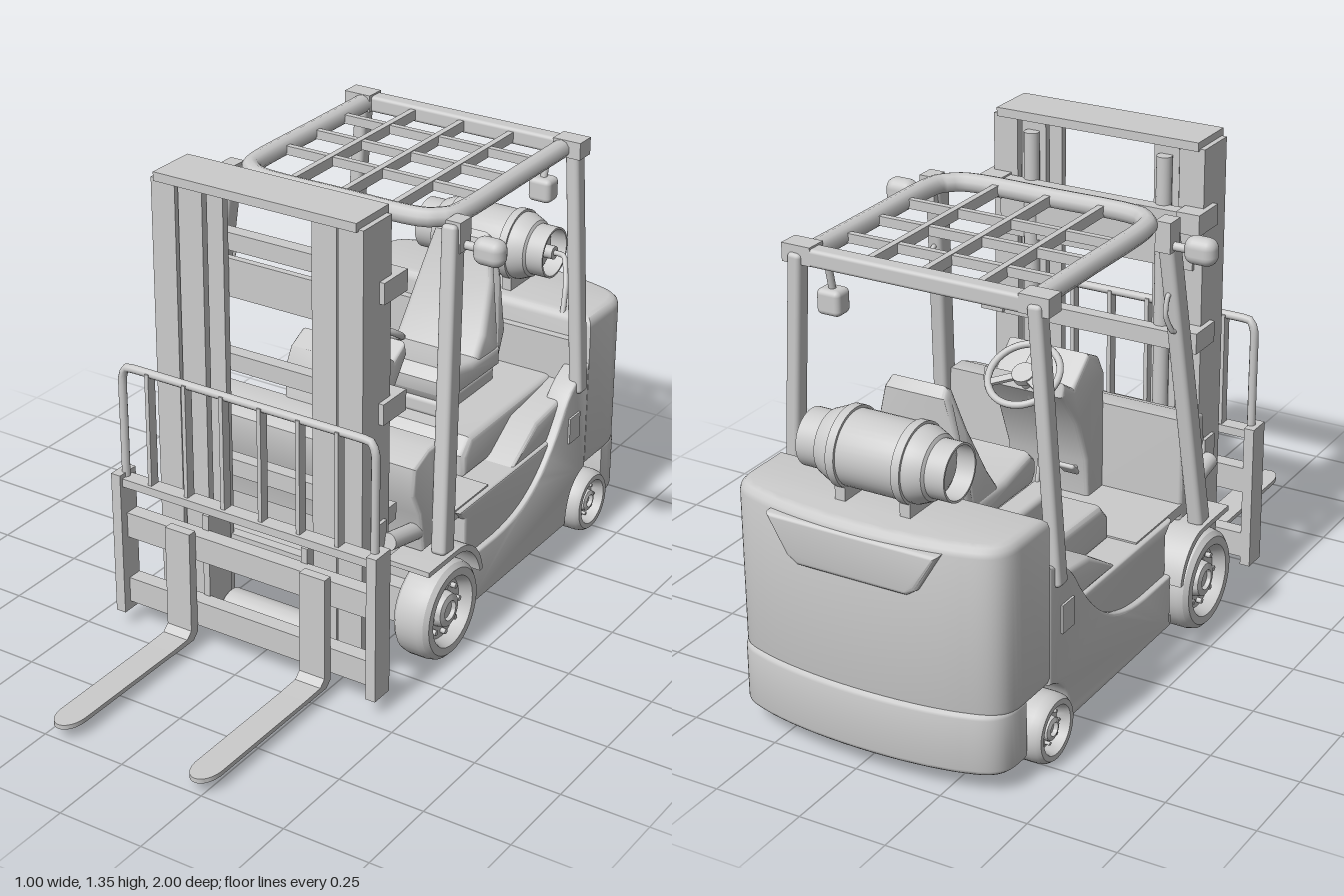
import * as THREE from 'three';
import { toCreasedNormals } from 'three/addons/utils/BufferGeometryUtils.js';
import { RoundedBoxGeometry } from 'three/addons/geometries/RoundedBoxGeometry.js';

const mat = new THREE.MeshStandardMaterial({ color: 0xcccccc });
const V = (x, y, z) => new THREE.Vector3(x, y, z);

export function createModel() {
  const root = new THREE.Group();
  const add = (name, geo, x = 0, y = 0, z = 0) => {
    const m = new THREE.Mesh(geo, mat);
    m.name = name;
    m.position.set(x, y, z);
    root.add(m);
    return m;
  };
  // Box given by its extents
  const box = (name, x0, x1, y0, y1, z0, z1) =>
    add(name, new THREE.BoxGeometry(x1 - x0, y1 - y0, z1 - z0), (x0 + x1) / 2, (y0 + y1) / 2, (z0 + z1) / 2);
  const softBox = (name, x0, x1, y0, y1, z0, z1, r) =>
    add(name, new RoundedBoxGeometry(x1 - x0, y1 - y0, z1 - z0, 3, r), (x0 + x1) / 2, (y0 + y1) / 2, (z0 + z1) / 2);
  const toShape = p => Array.isArray(p) ? new THREE.Shape(p.map(q => new THREE.Vector2(q[0], q[1]))) : p;
  const extrude = (shape, depth, bevel) => new THREE.ExtrudeGeometry(toShape(shape), {
    depth: depth - 2 * bevel, bevelEnabled: bevel > 0, bevelSize: bevel, bevelThickness: bevel,
    bevelOffset: -bevel, bevelSegments: 3, curveSegments: 14 }).translate(0, 0, bevel);
  // Side profile [z, y] swept from x0 to x1
  const sideGeo = (shape, x0, x1, bevel = 0) => toCreasedNormals(
    extrude(shape, x1 - x0, bevel).rotateY(-Math.PI / 2).translate(x1, 0, 0), 0.6);
  const side = (name, shape, x0, x1, bevel) => add(name, sideGeo(shape, x0, x1, bevel));
  // Plan [x, -z] swept from y0 to y1
  const plan = (name, shape, y0, y1, bevel = 0) => add(name, toCreasedNormals(
    extrude(shape, y1 - y0, bevel).rotateX(-Math.PI / 2).translate(0, y0, 0), 0.6));
  const tube = (name, pts, r, n = 40, tension = 0.3) => add(name,
    new THREE.TubeGeometry(new THREE.CatmullRomCurve3(pts, false, 'catmullrom', tension), n, r, 10));
  const aim = (m, a, b) => {
    m.position.copy(a).add(b).multiplyScalar(0.5);
    m.quaternion.setFromUnitVectors(V(0, 1, 0), b.clone().sub(a).normalize());
    return m;
  };
  const rod = (name, a, b, r) => aim(add(name, new THREE.CylinderGeometry(r, r, a.distanceTo(b), 18)), a, b);
  const beam = (name, a, b, w, d) => aim(add(name, new RoundedBoxGeometry(w, a.distanceTo(b), d, 2, 0.012)), a, b);
  const lathe = (pts, n = 40) => toCreasedNormals(
    new THREE.LatheGeometry(pts.map(p => new THREE.Vector2(p[0], p[1])), n), 0.5).rotateZ(-Math.PI / 2);

  // Wheels with recessed rims and bolts
  const wheel = (name, s, cx, y, z, R, w) => {
    const g = new THREE.Group(), h = w / 2;
    g.name = name;
    g.add(new THREE.Mesh(lathe([[0, -h], [R * 0.88, -h], [R * 0.97, -h + 0.012], [R, -h + 0.03], [R, h - 0.03],
      [R * 0.97, h - 0.012], [R * 0.88, h], [R * 0.72, h], [R * 0.69, h - 0.008], [R * 0.62, h - 0.035], [R * 0.36, h - 0.035],
      [R * 0.33, h - 0.012], [R * 0.2, h - 0.008], [R * 0.18, h - 0.02], [0, h - 0.02]]), mat));
    for (let i = 0; i < 8; i++) {
      const a = i * Math.PI / 4;
      const bolt = new THREE.Mesh(new THREE.CylinderGeometry(R * 0.055, R * 0.055, 0.02, 8).rotateZ(Math.PI / 2), mat);
      bolt.position.set(h - 0.03, Math.cos(a) * R * 0.49, Math.sin(a) * R * 0.49);
      g.add(bolt);
    }
    g.position.set(s * cx, y, z);
    if (s < 0) g.rotation.y = Math.PI;
    root.add(g);
  };

  // Body core, floor and hood
  side('chassis', [[0.1, 0.1], [0.1, 0.36], [-0.02, 0.375], [-0.72, 0.375], [-0.72, 0.2], [-0.62, 0.2], [-0.62, 0.08], [-0.05, 0.08]], -0.3, 0.3);
  side('floorBody', [[-0.055, 0.1], [-0.055, 0.34], [-0.02, 0.375], [-0.72, 0.375], [-0.72, 0.22], [-0.61, 0.2], [-0.61, 0.1]], -0.385, 0.385, 0.01);
  box('floorPlate', -0.37, 0.37, 0.35, 0.38, -0.2, 0.12);
  side('hood', [[-0.2, 0.37], [-0.2, 0.44], [-0.24, 0.485], [-0.72, 0.495], [-0.72, 0.37]], -0.29, 0.29, 0.02);
  side('hoodShoulder', [[-0.32, 0.37], [-0.46, 0.46], [-0.72, 0.49], [-0.72, 0.37]], -0.375, 0.375, 0.015);
  box('rearBulkhead', -0.37, 0.37, 0.4, 0.62, -0.73, -0.69);
  box('rearAxle', -0.34, 0.34, 0.07, 0.13, -0.76, -0.69);
  box('frontAxle', -0.34, 0.34, 0.09, 0.2, 0.05, 0.15);

  // Front cowl, dashboard and steering
  side('cowl', [[0.06, 0.63], [0.12, 0.63], [0.19, 0.6], [0.195, 0.52], [0.16, 0.45], [0.14, 0.33], [0.06, 0.33]], -0.37, 0.37, 0.01);
  side('dashboard', [[0.07, 0.72], [0.04, 0.775], [-0.02, 0.805], [-0.1, 0.735], [-0.155, 0.77], [-0.165, 0.73], [-0.08, 0.62],
    [-0.03, 0.49], [-0.02, 0.37], [0.07, 0.37]], -0.125, 0.125, 0.012);
  rod('steeringColumn', V(-0.01, 0.69, -0.115), V(-0.01, 0.775, -0.17), 0.018);
  const steering = new THREE.Group();
  steering.name = 'steeringWheel';
  steering.add(new THREE.Mesh(new THREE.TorusGeometry(0.1, 0.01, 10, 40).rotateX(Math.PI / 2), mat));
  steering.add(new THREE.Mesh(new THREE.CylinderGeometry(0.032, 0.032, 0.02, 20), mat));
  for (let i = 0; i < 3; i++) steering.add(new THREE.Mesh(
    new THREE.BoxGeometry(0.02, 0.01, 0.09).translate(0, 0, 0.055).rotateY(i * Math.PI * 2 / 3), mat));
  steering.position.set(-0.01, 0.778, -0.17);
  steering.rotation.x = -0.57;
  root.add(steering);
  for (const x of [-0.09, 0.08]) {
    rod('pedalArm', V(x, 0.46, 0), V(x, 0.47, -0.06), 0.006);
    beam('pedal', V(x, 0.46, -0.05), V(x, 0.495, -0.085), 0.05, 0.014);
  }

  // Seat
  const sx = 0.03;
  softBox('seatBase', sx - 0.13, sx + 0.13, 0.48, 0.535, -0.59, -0.29, 0.015);
  side('seatCushion', [[-0.28, 0.56], [-0.28, 0.6], [-0.31, 0.63], [-0.44, 0.605], [-0.6, 0.6], [-0.6, 0.53], [-0.3, 0.53]], sx - 0.145, sx + 0.145, 0.022);
  const back = sideGeo([[-0.645, 0.9], [-0.62, 0.925], [-0.6, 0.91], [-0.575, 0.8], [-0.51, 0.66], [-0.46, 0.59],
    [-0.48, 0.55], [-0.6, 0.55], [-0.635, 0.63], [-0.64, 0.8]], -0.14, 0.14, 0.018);
  const bp = back.attributes.position;
  for (let i = 0; i < bp.count; i++) bp.setX(i, bp.getX(i) * (1 - 0.4 * Math.max(0, (bp.getY(i) - 0.58) / 0.345) ** 2));
  back.deleteAttribute('normal');
  add('seatBack', toCreasedNormals(back, 0.6), sx);
  softBox('leverConsole', -0.2, -0.125, 0.48, 0.56, -0.55, -0.3, 0.015);
  for (let i = 0; i < 3; i++) rod('lever', V(-0.18 + i * 0.02, 0.54, -0.33), V(-0.18 + i * 0.02, 0.62, -0.31), 0.006);

  // Counterweight, curved across the rear
  const cwShape = (w, f, k) => {
    const s = new THREE.Shape();
    s.moveTo(-w, f);
    s.lineTo(w, f);
    s.lineTo(w, 0.85 * k);
    s.bezierCurveTo(w, 0.94 * k, w - 0.06, 0.945 * k, w - 0.12, 0.963 * k);
    s.bezierCurveTo(0.12, k, -0.12, k, -w + 0.12, 0.963 * k);
    s.bezierCurveTo(-w + 0.06, 0.945 * k, -w, 0.94 * k, -w, 0.85 * k);
    return s;
  };
  plan('counterweight', cwShape(0.4, 0.715, 1), 0.21, 0.69, 0.028);
  plan('counterweightBase', cwShape(0.398, 0.825, 1.01), 0.06, 0.235, 0.015);
  const lip = [[-0.25, 0.665], [-0.19, 0.56], [-0.16, 0.54], [0.16, 0.54], [0.19, 0.56], [0.25, 0.665]];
  add('rearLip', toCreasedNormals(extrude(lip, 0.1, 0.012), 0.6), 0, 0, -0.998);
  softBox('towPin', -0.05, 0.05, 0.19, 0.225, -1, -0.95, 0.008);

  // Gas tank lying across the counterweight
  add('gasTank', lathe([[0, -0.18], [0.05, -0.175], [0.085, -0.155], [0.1, -0.12], [0.1, 0.12], [0.085, 0.155], [0.05, 0.175], [0, 0.18]]), 0, 0.812, -0.826);
  for (const s of [-1, 1]) {
    add('tankCollar', lathe([[0.07, 0.15], [0.076, 0.15], [0.076, 0.215], [0.07, 0.215], [0.07, 0.15]]), s < 0 ? -0.365 : 0, 0.812, -0.826);
    add('tankStrap', lathe([[0.098, -0.012], [0.107, -0.012], [0.107, 0.012], [0.098, 0.012]]), s * 0.095, 0.812, -0.826);
    box('tankCradle', s * 0.095 - 0.015, s * 0.095 + 0.015, 0.68, 0.73, -0.89, -0.76);
  }
  rod('tankValve', V(0.17, 0.812, -0.826), V(0.215, 0.812, -0.826), 0.02);
  tube('gasHose', [V(0.2, 0.812, -0.826), V(0.25, 0.81, -0.82), V(0.29, 0.75, -0.76), V(0.3, 0.68, -0.73)], 0.008, 24);

  // Overhead guard
  const gx = 0.325, gy = 1.222;
  tube('guardFrame', [[-gx, -0.67], [-gx, -0.4], [-gx, -0.11], [-0.295, -0.035], [-0.22, -0.005], [0, -0.005],
    [0.22, -0.005], [0.295, -0.035], [gx, -0.11], [gx, -0.4], [gx, -0.67]].map(p => V(p[0], gy, p[1])), 0.027, 90, 0.5);
  softBox('guardRearBar', -0.35, 0.35, 1.197, 1.245, -0.69, -0.64, 0.01);
  for (const x of [-0.16, 0, 0.16]) box('guardSlat', x - 0.009, x + 0.009, 1.205, 1.235, -0.66, -0.01);
  for (const z of [-0.51, -0.365, -0.22]) box('guardCrossSlat', -0.32, 0.32, 1.207, 1.233, z - 0.009, z + 0.009);
  softBox('rearLamp', 0.24, 0.31, 1.06, 1.13, -0.66, -0.6, 0.015);
  rod('rearLampStem', V(0.275, 1.12, -0.63), V(0.275, 1.21, -0.65), 0.01);

  // Mast cross members, drum and carriage bars
  box('mastTopBar', -0.31, 0.31, 1.33, 1.355, 0.235, 0.385);
  box('mastCrossPlate', -0.3, 0.3, 0.99, 1.1, 0.235, 0.255);
  for (const y of [1.14, 0.79, 0.47]) box('mastCrossBar', -0.32, 0.32, y - 0.025, y + 0.025, 0.2, 0.24);
  box('mastLowerPlate', -0.3, 0.3, 0.2, 0.28, 0.24, 0.27);
  rod('mastPivotDrum', V(-0.143, 0.07, 0.31), V(0.143, 0.07, 0.31), 0.06);
  box('mastFoot', -0.29, 0.29, 0.04, 0.08, 0.26, 0.36);
  box('carriageLowerBar', -0.415, 0.415, 0.075, 0.15, 0.395, 0.44);
  box('carriageUpperBar', -0.415, 0.415, 0.28, 0.355, 0.395, 0.44);
  box('backrestLowerBar', -0.41, 0.41, 0.443, 0.467, 0.41, 0.455);
  for (let i = 0; i < 6; i++) box('backrestBar', -0.315 + i * 0.12, -0.303 + i * 0.12, 0.46, 0.8, 0.415, 0.445);
  tube('backrestFrame', [V(-0.4, 0.45, 0.43), V(-0.4, 0.6, 0.43), V(-0.4, 0.76, 0.43), V(-0.388, 0.788, 0.43), V(-0.36, 0.797, 0.43), V(0, 0.797, 0.43),
    V(0.36, 0.797, 0.43), V(0.388, 0.788, 0.43), V(0.4, 0.76, 0.43), V(0.4, 0.6, 0.43), V(0.4, 0.45, 0.43)], 0.012, 80);

  // Forks: tapered blade, heel and shank
  for (const x of [-0.205, 0.23]) {
    side('forkShank', [[0.44, 0.37], [0.468, 0.37], [0.47, 0.07], [0.49, 0.052], [0.56, 0.05], [0.56, 0.036], [0.46, 0.036], [0.44, 0.055]], x - 0.04, x + 0.04);
    const tip = new THREE.Shape();
    tip.moveTo(x - 0.04, -0.55);
    tip.lineTo(x - 0.04, -0.94);
    tip.bezierCurveTo(x - 0.035, -1.02, x + 0.035, -1.02, x + 0.04, -0.94);
    tip.lineTo(x + 0.04, -0.55);
    plan('forkBlade', tip, 0.037, 0.05);
  }

  // Mirrored parts
  const fender = new THREE.Shape();
  fender.moveTo(0.22, 0.325);
  fender.lineTo(0.07, 0.325);
  fender.bezierCurveTo(0, 0.325, -0.055, 0.27, -0.065, 0.2);
  fender.lineTo(-0.05, 0.2);
  fender.bezierCurveTo(-0.035, 0.26, 0.01, 0.305, 0.07, 0.31);
  fender.lineTo(0.22, 0.31);
  const panel = new THREE.Shape();
  panel.moveTo(-0.055, 0.07);
  panel.lineTo(-0.055, 0.225);
  panel.lineTo(-0.2, 0.225);
  panel.bezierCurveTo(-0.4, 0.23, -0.48, 0.32, -0.56, 0.43);
  panel.bezierCurveTo(-0.6, 0.5, -0.64, 0.53, -0.715, 0.55);
  panel.lineTo(-0.715, 0.215);
  panel.bezierCurveTo(-0.65, 0.2, -0.615, 0.16, -0.61, 0.07);
  for (const s of [-1, 1]) {
    const mx = (f, name, shape, a, b, ...r) => f(name, shape, Math.min(s * a, s * b), Math.max(s * a, s * b), ...r);
    const mbox = (name, a, b, ...r) => box(name, Math.min(s * a, s * b), Math.max(s * a, s * b), ...r);
    wheel('frontWheel', s, 0.387, 0.147, 0.1, 0.143, 0.11);
    wheel('rearWheel', s, 0.378, 0.1, -0.724, 0.094, 0.1);
    mx(side, 'frontFender', fender, 0.3, 0.437);
    mx(side, 'sidePanel', panel, 0.33, 0.402, 0.008);
    mbox('sideStep', 0.35, 0.4, 0.07, 0.1, -0.61, -0.05);
    mbox('sideLatch', 0.39, 0.408, 0.34, 0.42, -0.66, -0.6);
    beam('guardFrontPost', V(s * 0.405, 0.32, 0.1), V(s * 0.35, 1.225, -0.015), 0.045, 0.06);
    beam('guardRearPost', V(s * 0.395, 0.48, -0.665), V(s * 0.345, 1.23, -0.675), 0.04, 0.05);
    mbox('guardBracket', 0.335, 0.38, 1.15, 1.235, -0.055, 0);
    mbox('guardRearBracket', 0.3, 0.385, 1.2, 1.25, -0.69, -0.63);
    tube('grabHandle', [V(s * 0.36, 1.02, 0.01), V(s * 0.36, 1.02, -0.025), V(s * 0.36, 0.97, -0.035), V(s * 0.37, 0.92, -0.015), V(s * 0.375, 0.915, 0.02)], 0.007);
    // Headlamps on short stems
    rod('headlampStem', V(s * 0.36, 1.165, -0.03), V(s * 0.43, 1.165, -0.03), 0.012);
    softBox('headlamp', s * 0.455 - 0.045, s * 0.455 + 0.045, 1.127, 1.203, -0.055, 0.005, 0.028);
    // Nested channel rails
    const channel = (name, a, b, z0, z1, y1) => {
      mbox(name + 'Web', b - 0.02, b, 0.04, y1, z0, z1);
      mbox(name + 'RearFlange', a, b, 0.04, y1, z0, z0 + 0.022);
      mbox(name + 'FrontFlange', a, b, 0.04, y1, z1 - 0.022, z1);
    };
    channel('outerRail', 0.25, 0.325, 0.245, 0.375, 1.335);
    channel('innerRail', 0.168, 0.243, 0.258, 0.37, 1.332);
    rod('liftCylinder', V(s * 0.205, 0.06, 0.245), V(s * 0.205, 1.3, 0.245), 0.022);
    for (const y of [1.14, 0.8]) mbox('mastBracket', 0.27, 0.34, y - 0.03, y + 0.03, 0.19, 0.3);
    mbox('mastSidePad', 0.32, 0.335, 0.38, 0.48, 0.27, 0.33);
    rod('tiltCylinder', V(s * 0.345, 0.42, 0.28), V(s * 0.345, 0.38, 0.1), 0.025);
    mbox('carriageSidePlate', 0.395, 0.425, 0.05, 0.48, 0.395, 0.465);
    mbox('carriageRoller', 0.15, 0.17, 0.08, 0.4, 0.3, 0.4);
  }
  return root;
}
